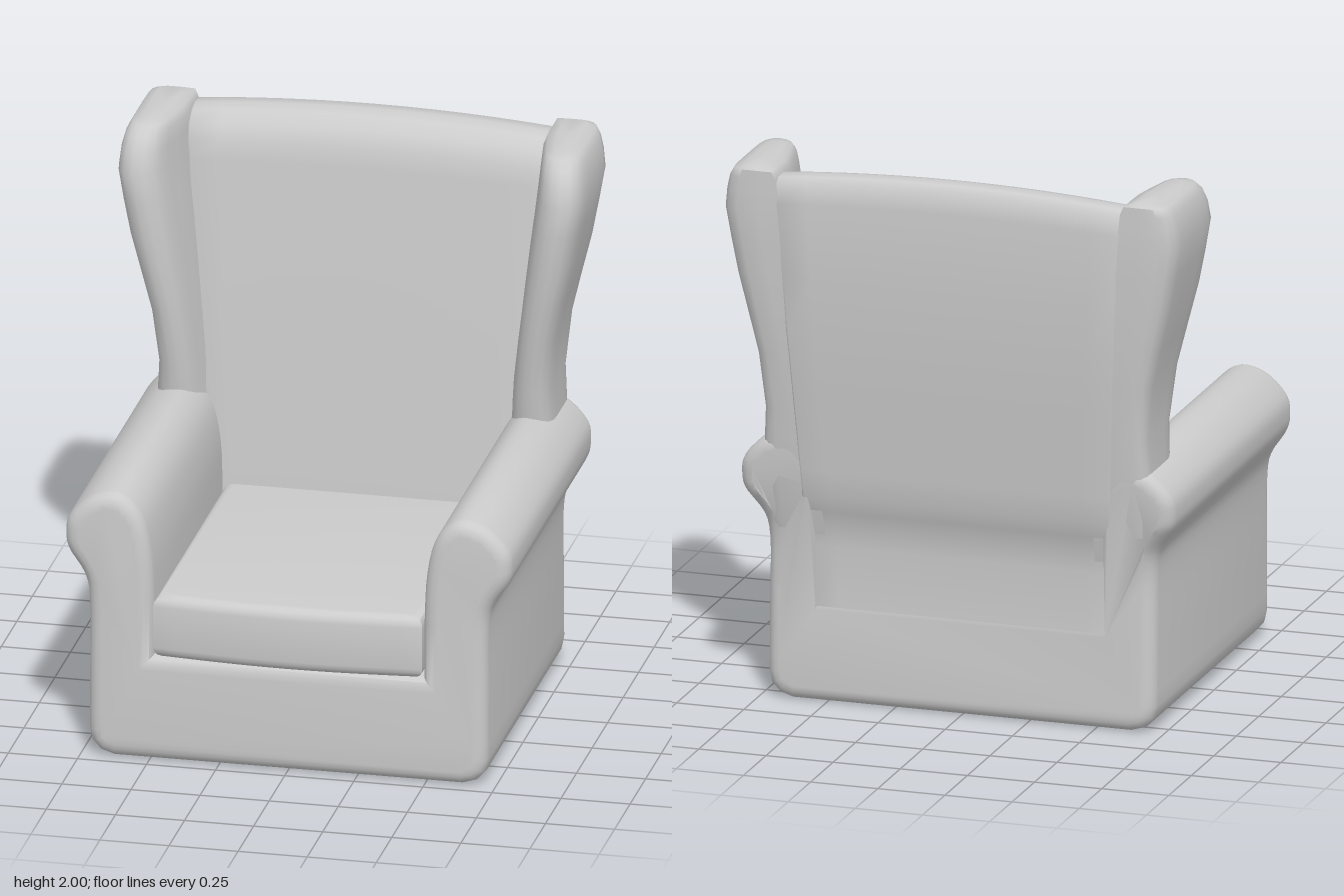
import * as THREE from 'three';
import { toCreasedNormals } from 'three/addons/utils/BufferGeometryUtils.js';

const material = new THREE.MeshStandardMaterial({ color: 0xcccccc });

// Rear outline of the whole chair: [height, z]
const REAR = [[0, -0.59], [0.58, -0.577], [0.67, -0.59], [0.78, -0.63], [1, -0.655], [1.4, -0.7], [1.8, -0.725], [2, -0.725]];

function rearZ(y) {
  for (let i = 1; i < REAR.length; i++) {
    const [y0, z0] = REAR[i - 1], [y1, z1] = REAR[i];
    if (y <= y1) return THREE.MathUtils.mapLinear(Math.max(y, y0), y0, y1, z0, z1);
  }
  return REAR[REAR.length - 1][1];
}

function part(name, geometry, crease = 0.9) {
  const mesh = new THREE.Mesh(toCreasedNormals(geometry, crease), material);
  mesh.name = name;
  return mesh;
}

function moveVertices(geometry, rule) {
  const p = geometry.attributes.position, v = new THREE.Vector3();
  for (let i = 0; i < p.count; i++) {
    rule(v.fromBufferAttribute(p, i));
    p.setXYZ(i, v.x, v.y, v.z);
  }
  return geometry;
}

// Extrusion whose bevel stays inside the outline and the given length
function softExtrude(points, length, bevel, steps = 1) {
  const geometry = new THREE.ExtrudeGeometry(new THREE.Shape(points), {
    depth: length - 2 * bevel, steps, bevelEnabled: true, bevelSegments: 4,
    bevelSize: bevel, bevelThickness: bevel, bevelOffset: -bevel,
  });
  return geometry.translate(0, 0, bevel - length / 2);
}

const vec2 = (list) => list.map(([x, y]) => new THREE.Vector2(x, y));

// Base and both rolled arms as one U-shaped section
function frame() {
  const roll = new THREE.SplineCurve(vec2([
    [0.722, 0.1], [0.722, 0.35], [0.722, 0.58], [0.738, 0.68], [0.795, 0.77], [0.808, 0.83], [0.795, 0.9],
    [0.72, 0.975], [0.63, 1], [0.565, 0.965], [0.52, 0.89], [0.495, 0.76], [0.488, 0.6],
  ])).getPoints(40);
  const half = [...vec2([[0.63, 0.004], [0.68, 0.02], [0.712, 0.055]]), ...roll, new THREE.Vector2(0.488, 0.395)];
  const mirrored = half.map((p) => new THREE.Vector2(-p.x, p.y)).reverse();
  const geometry = softExtrude([...half, ...mirrored], 1.3, 0.05);
  geometry.translate(0, 0, 0.065);
  // The rear end follows the rear outline
  return moveVertices(geometry, (v) => {
    if (v.z < 0) v.z += rearZ(v.y) + 0.585;
  });
}

function cushion() {
  const front = [];
  for (let i = 0; i <= 12; i++) {
    const x = -0.487 + 0.974 * i / 12;
    front.push(new THREE.Vector2(x, -0.7 - 0.032 * Math.cos(x * Math.PI)));
  }
  const outline = [...front, ...vec2([[0.487, 0.5], [-0.487, 0.5]])];
  const geometry = softExtrude(outline, 0.235, 0.04);
  return geometry.rotateX(-Math.PI / 2).translate(0, 0.507, 0);
}

// Leaning back with a rolled, slightly crowned top
function backrest() {
  const front = [[-0.4, 0.36], [-0.422, 0.62], [-0.518, 1.82], [-0.528, 1.89], [-0.555, 1.95], [-0.6, 1.988], [-0.65, 2], [-0.7, 1.998], [-0.72, 1.98]];
  const rear = [1.9, 1.6, 1.4, 1.2, 1, 0.88, 0.78, 0.72, 0.67, 0.62, 0.58, 0.36].map((y) => [rearZ(y) - 0.003, y]);
  const geometry = softExtrude(vec2([...front, ...rear]), 2, 0.02, 12).rotateY(-Math.PI / 2);
  return moveVertices(geometry, (v) => {
    const t = v.x;
    v.x *= 0.53 + 0.06 * v.y;
    v.y -= 0.03 * t * t * THREE.MathUtils.smoothstep(v.y, 1.6, 2);
  });
}

// Wing lofted from rounded sections; side is +1 for left, -1 for right
function wing(side) {
  // [height, inner x, outer x, front z]
  const rows = [
    [0.6, 0.5, 0.7, -0.42], [0.8, 0.51, 0.715, -0.37], [0.98, 0.53, 0.718, -0.335], [1.1, 0.54, 0.71, -0.318],
    [1.3, 0.565, 0.73, -0.285], [1.45, 0.582, 0.765, -0.262], [1.6, 0.6, 0.802, -0.245], [1.73, 0.617, 0.826, -0.236],
    [1.84, 0.63, 0.845, -0.236], [1.91, 0.637, 0.838, -0.255], [1.96, 0.642, 0.826, -0.285], [1.99, 0.655, 0.808, -0.325],
    [2, 0.69, 0.775, -0.38],
  ];
  // Section: inner to outer 0..1, rear to front 0..1
  const section = [
    [0, 0], [0.35, 0], [0.72, 0], [0.88, 0.03], [0.97, 0.08], [1, 0.17], [1, 0.4], [1, 0.65], [0.99, 0.8], [0.94, 0.91],
    [0.83, 0.975], [0.67, 1], [0.5, 0.985], [0.35, 0.94], [0.25, 0.86], [0.18, 0.74], [0.1, 0.58], [0.02, 0.4], [0, 0.2],
  ];
  const n = section.length, positions = [], index = [];
  const tri = (a, b, c) => (side > 0 ? index.push(a, b, c) : index.push(a, c, b));
  rows.forEach(([y, xi, xo, zf], r) => {
    const zb = rearZ(y) + (r === rows.length - 1 ? 0.02 : 0);
    section.forEach(([u, w]) => positions.push(side * (xi + (xo - xi) * u), y, zb + (zf - zb) * w));
  });
  for (let r = 0; r < rows.length - 1; r++) {
    for (let i = 0; i < n; i++) {
      const a = r * n + i, b = r * n + (i + 1) % n;
      tri(a, a + n, b);
      tri(b, a + n, b + n);
    }
  }
  // Top cap
  const top = (rows.length - 1) * n, centre = rows.length * n;
  positions.push(side * 0.733, 2, -0.55);
  for (let i = 0; i < n; i++) tri(top + i, centre, top + (i + 1) % n);
  const geometry = new THREE.BufferGeometry();
  geometry.setAttribute('position', new THREE.Float32BufferAttribute(positions, 3));
  geometry.setIndex(index);
  return geometry;
}

export function createModel() {
  const chair = new THREE.Group();
  chair.name = 'wingArmchair';
  chair.add(
    part('baseAndArms', frame()),
    part('seatCushion', cushion()),
    part('backrest', backrest()),
    part('leftWing', wing(1), 1.1),
    part('rightWing', wing(-1), 1.1),
  );
  return chair;
}
